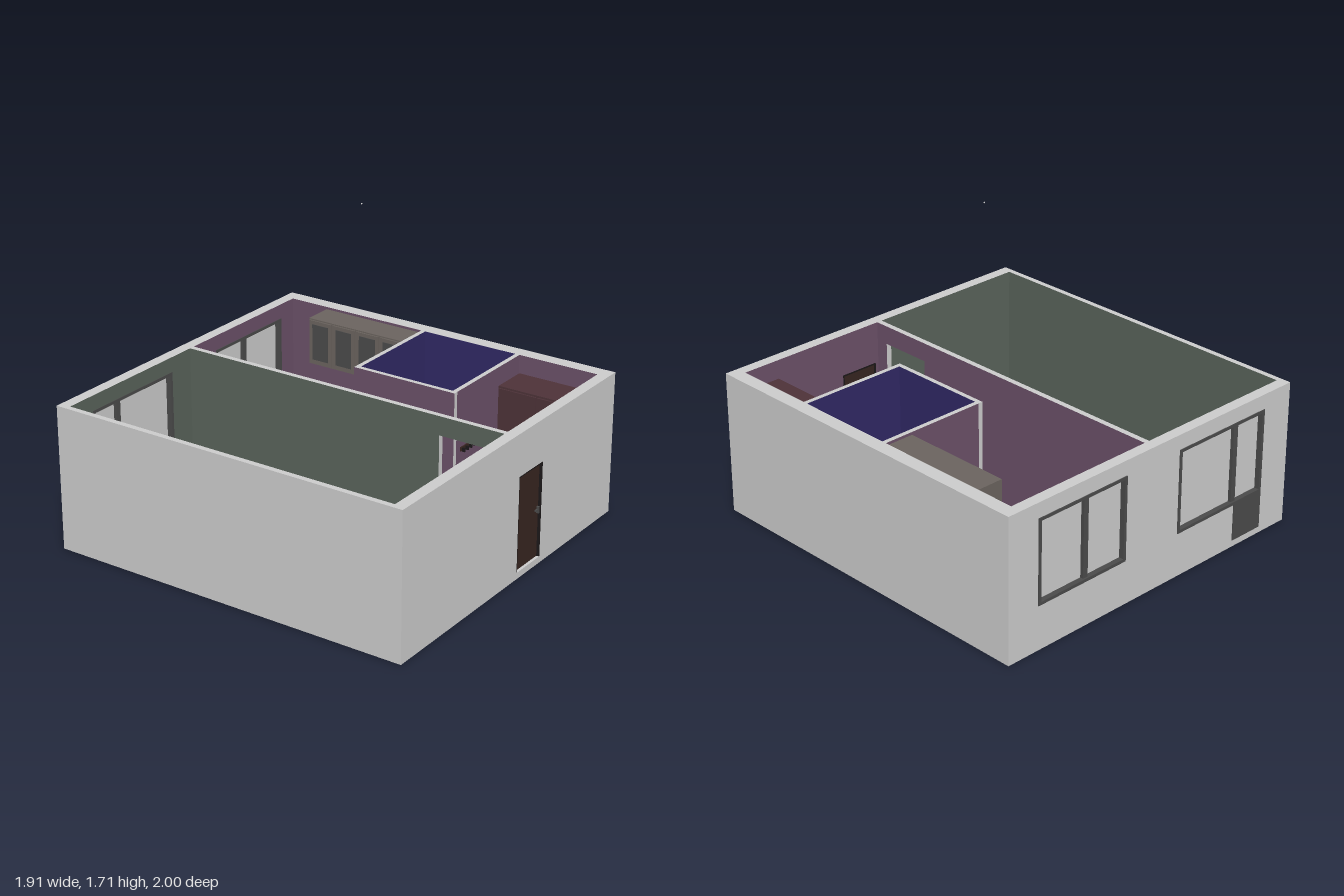
import * as THREE from 'three';
import { RoundedBoxGeometry } from 'three/addons/geometries/RoundedBoxGeometry.js';

const mat = (color) => new THREE.MeshStandardMaterial({ color });
const M = {
  grey: mat(0xcccccc), green: mat(0x59635a), purple: mat(0x6b5068), blue: mat(0x302864),
  floor: mat(0x433d30), door: mat(0x36241f), dark: mat(0x4a4a4a), black: mat(0x1c1819),
  pink: mat(0x8d6d72), pillow: mat(0x454949), wood: mat(0x6a5537), table: mat(0x9a865b),
  fridge: mat(0x6e755c), counter: mat(0x6b6d50), cabinet: mat(0x6a635e), stove: mat(0x7a7a75),
  wardrobe: mat(0x4d3238),
};
const H = 0.77, BASE = 0.003;

export function createModel() {
  const root = new THREE.Group();
  const group = (name) => {
    const g = new THREE.Group();
    g.name = name;
    root.add(g);
    return g;
  };
  const put = (parent, name, geo, material, x, y, z) => {
    const m = new THREE.Mesh(geo, material);
    m.name = name;
    m.position.set(x, y, z);
    parent.add(m);
    return m;
  };
  // Box given by its limits on each axis
  const box = (parent, name, x0, x1, y0, y1, z0, z1, material) =>
    put(parent, name, new THREE.BoxGeometry(x1 - x0, y1 - y0, z1 - z0), material,
      (x0 + x1) / 2, (y0 + y1) / 2, (z0 + z1) / 2);
  const cyl = (parent, name, r0, r1, h, x, y, z, material, n = 20) =>
    put(parent, name, new THREE.CylinderGeometry(r0, r1, h, n), material, x, y, z);

  // Wall along an axis: a..b is its run, t0..t1 its thickness, with at most one opening
  // [u0, u1, v0, v1]; lo and hi colour the faces at t0 and t1
  const walls = group('walls');
  const wall = (name, axis, a, b, t0, t1, lo, hi, cut) => {
    const g = M.grey;
    const mats = axis === 'x' ? [g, g, g, g, hi, lo] : [hi, lo, g, g, g, g];
    const piece = (u0, u1, v0, v1) => {
      if (u1 - u0 < 1e-4 || v1 - v0 < 1e-4) return;
      if (axis === 'x') box(walls, name, u0, u1, v0, v1, t0, t1, mats);
      else box(walls, name, t0, t1, v0, v1, u0, u1, mats);
    };
    if (!cut) return piece(a, b, BASE, H);
    const [u0, u1, v0, v1] = cut;
    piece(a, u0, BASE, H);
    piece(u1, b, BASE, H);
    piece(u0, u1, BASE, v0);
    piece(u0, u1, v1, H);
  };
  const windows = [[-0.77, -0.16, 0.24, 0.69], [0.2, 0.77, 0.24, 0.69]];
  const doorCut = [0.04, 0.26, 0.037, 0.545];
  wall('leftRoomSideWall', 'z', -0.995, 1, -0.96, -0.93, M.grey, M.green);
  wall('leftRoomBackWall', 'x', -0.93, 0.005, -0.995, -0.935, M.grey, M.green, windows[0]);
  wall('leftRoomFrontWall', 'x', -0.93, 0.005, 0.94, 1, M.green, M.grey);
  wall('rightRoomBackWall', 'x', 0.005, 0.88, -0.995, -0.935, M.grey, M.purple, windows[1]);
  wall('rightRoomFrontWall', 'x', 0.005, 0.88, 0.94, 1, M.purple, M.grey, doorCut);
  wall('kitchenSideWall', 'z', -0.995, -0.08, 0.88, 0.955, M.purple, M.grey);
  wall('bathroomSideWall', 'z', -0.08, 0.465, 0.88, 0.955, M.blue, M.grey);
  wall('hallSideWall', 'z', 0.465, 1, 0.88, 0.955, M.purple, M.grey);
  wall('partition', 'z', -0.935, 0.94, -0.01, 0.02, M.green, M.purple, [0.58, 0.87, BASE, 0.67]);
  wall('bathroomInnerWall', 'z', -0.105, 0.49, 0.265, 0.29, M.purple, M.blue);
  wall('bathroomBackWall', 'x', 0.29, 0.88, -0.105, -0.08, M.purple, M.blue);
  wall('bathroomFrontWall', 'x', 0.29, 0.88, 0.465, 0.49, M.blue, M.purple);

  // Floors
  const floors = group('floors');
  box(floors, 'mainFloor', -0.93, 0.88, BASE, 0.007, -0.935, 0.94, M.floor);
  box(floors, 'bathroomFloor', 0.268, 0.88, 0.001, 0.012, -0.1, 0.485, M.grey);

  // Windows: four frame bars, a mullion and a pane
  windows.forEach(([x0, x1, y0, y1], i) => {
    const g = group('window'), s = 0.016, mid = i ? 0.46 : -0.57;
    const bar = (n, a, b, c, d, z0 = -1, z1 = -0.932) => box(g, n, a, b, c, d, z0, z1, M.dark);
    bar('frameSide', x0, x0 + s, y0, y1);
    bar('frameSide', x1 - s, x1, y0, y1);
    bar('frameBottom', x0, x1, y0, y0 + s);
    bar('frameTop', x0, x1, y1 - s, y1);
    bar('mullion', mid - 0.015, mid + 0.015, y0, y1, -0.99, -0.945);
    box(g, 'pane', x0, x1, y0, y1, -0.972, -0.962, M.grey);
  });
  box(root, 'balconyDoorPanel', -0.77, -0.57, 0.04, 0.245, -1, -0.932, M.dark);

  // Front door with frame and handles, and the bathroom door
  const door = group('frontDoor');
  box(door, 'leaf', 0.04, 0.26, 0.037, 0.545, 0.945, 0.985, M.door);
  for (const x of [0.04, 0.252]) box(door, 'frameSide', x, x + 0.008, 0.037, 0.545, 0.938, 0.998, M.black);
  box(door, 'frameTop', 0.04, 0.26, 0.537, 0.545, 0.938, 0.998, M.black);
  for (const z of [0.938, 0.991]) {
    box(door, 'handle', 0.215, 0.245, 0.29, 0.298, z - 0.004, z + 0.004, M.dark);
    box(door, 'handlePlate', 0.236, 0.246, 0.275, 0.31, z - 0.007, z + 0.007, M.dark);
  }
  box(root, 'bathroomDoor', 0.262, 0.293, 0, 0.5, -0.07, 0.24, M.purple);

  // Bed with metal frame
  const bed = group('bed');
  for (const x of [-0.298, -0.034])
    for (const z of [-0.905, -0.362]) cyl(bed, 'post', 0.008, 0.008, 0.22, x, 0.115, z, M.black, 10);
  for (const z of [-0.905, -0.362])
    for (const y of [0.09, 0.16, 0.215]) box(bed, 'endRail', -0.298, -0.034, y - 0.005, y + 0.005, z - 0.005, z + 0.005, M.black);
  for (const x of [-0.298, -0.034]) box(bed, 'sideRail', x - 0.005, x + 0.005, 0.075, 0.095, -0.905, -0.362, M.black);
  put(bed, 'mattress', new RoundedBoxGeometry(0.25, 0.06, 0.53, 2, 0.015), M.pink, -0.166, 0.12, -0.634);
  put(bed, 'pillow', new RoundedBoxGeometry(0.16, 0.03, 0.09, 3, 0.014), M.pillow, -0.155, 0.162, -0.84).rotation.y = -0.05;

  // Low bed against the side wall
  const lowBed = group('lowBed');
  box(lowBed, 'base', -0.925, -0.67, 0, 0.07, -0.265, 0.265, M.pink);
  put(lowBed, 'mattress', new RoundedBoxGeometry(0.26, 0.06, 0.54, 2, 0.012), M.pink, -0.798, 0.098, 0);
  put(lowBed, 'pillow', new RoundedBoxGeometry(0.15, 0.03, 0.1, 3, 0.014), M.pillow, -0.825, 0.14, 0.155).rotation.y = -0.55;

  // Nightstand
  const stand = group('nightstand');
  box(stand, 'body', -0.475, -0.315, 0.025, 0.15, -0.92, -0.76, M.wood);
  box(stand, 'handle', -0.425, -0.365, 0.105, 0.112, -0.76, -0.752, M.grey);
  for (const x of [-0.45, -0.34])
    for (const z of [-0.895, -0.785]) cyl(stand, 'foot', 0.01, 0.01, 0.03, x, 0.015, z, M.black, 10);

  // Fridge
  const fridge = group('fridge');
  box(fridge, 'body', 0.025, 0.258, 0.012, 0.49, -0.92, -0.735, M.fridge);
  box(fridge, 'lowerDoor', 0.26, 0.27, 0.02, 0.33, -0.92, -0.735, M.fridge);
  box(fridge, 'upperDoor', 0.26, 0.27, 0.34, 0.49, -0.92, -0.735, M.fridge);
  for (const y of [0.24, 0.36]) box(fridge, 'handle', 0.27, 0.276, y, y + 0.06, -0.752, -0.745, M.dark);

  // Table with cups and a bottle
  const table = group('table');
  box(table, 'top', 0.025, 0.255, 0.2, 0.215, -0.73, -0.37, M.table);
  for (const x of [0.04, 0.24])
    for (const z of [-0.715, -0.385]) box(table, 'leg', x - 0.01, x + 0.01, 0.006, 0.2, z - 0.01, z + 0.01, M.table);
  for (const [x, z] of [[0.075, -0.7], [0.11, -0.7], [0.07, -0.665]]) cyl(table, 'cup', 0.01, 0.008, 0.025, x, 0.228, z, M.grey, 12);
  const profile = [[0, -0.035], [0.012, -0.035], [0.012, 0.008], [0.004, 0.018], [0.004, 0.035], [0, 0.035]];
  const bottle = put(table, 'bottle', new THREE.LatheGeometry(profile.map((p) => new THREE.Vector2(...p)), 14),
    M.grey, 0.15, 0.227, -0.645);
  bottle.rotation.set(Math.PI / 2, 0, -0.65);

  // Kitchen: stove, counter and wall cupboards
  const kitchen = group('kitchen');
  box(kitchen, 'stove', 0.65, 0.88, 0, 0.255, -0.92, -0.712, M.stove);
  for (const [x, z, r] of [[0.705, -0.868, 0.028], [0.81, -0.868, 0.043], [0.705, -0.765, 0.043], [0.81, -0.765, 0.028]])
    cyl(kitchen, 'burner', r, r, 0.008, x, 0.258, z, M.black, 24);
  box(kitchen, 'ovenWindow', 0.645, 0.65, 0.06, 0.17, -0.89, -0.745, M.black);
  for (let i = 0; i < 4; i++)
    cyl(kitchen, 'knob', 0.008, 0.008, 0.01, 0.646, 0.225, -0.88 + i * 0.042, M.black, 10).rotation.z = Math.PI / 2;
  box(kitchen, 'lowerCupboard', 0.667, 0.88, 0.007, 0.24, -0.71, -0.107, M.counter);
  box(kitchen, 'worktop', 0.657, 0.88, 0.24, 0.253, -0.71, -0.107, M.counter);
  box(kitchen, 'wallCupboard', 0.72, 0.88, 0.5, 0.757, -0.71, -0.107, M.cabinet);
  for (let i = 0; i < 4; i++) {
    const z = -0.703 + i * 0.15;
    box(kitchen, 'lowerDoor', 0.66, 0.667, 0.03, 0.232, z, z + 0.14, M.counter);
    box(kitchen, 'lowerHandle', 0.651, 0.66, 0.19, 0.2, z + 0.05, z + 0.09, M.dark);
    box(kitchen, 'upperDoor', 0.712, 0.72, 0.508, 0.75, z, z + 0.14, M.cabinet);
    box(kitchen, 'upperDoorPanel', 0.709, 0.712, 0.53, 0.73, z + 0.02, z + 0.12, M.dark);
  }

  // Bathtub: rim block around a sunken basin, with taps
  const tub = group('bathtub');
  const roundRect = (s, x0, x1, y0, y1, r) => {
    s.moveTo(x0 + r, y0);
    s.absarc(x1 - r, y0 + r, r, -Math.PI / 2, 0);
    s.absarc(x1 - r, y1 - r, r, 0, Math.PI / 2);
    s.absarc(x0 + r, y1 - r, r, Math.PI / 2, Math.PI);
    s.absarc(x0 + r, y0 + r, r, Math.PI, Math.PI * 1.5);
    return s;
  };
  const rim = new THREE.Shape([[0.29, -0.16], [0.88, -0.16], [0.88, 0.08], [0.29, 0.08]].map((p) => new THREE.Vector2(...p)));
  rim.holes.push(roundRect(new THREE.Path(), 0.335, 0.828, -0.145, 0.066, 0.03));
  put(tub, 'rim', new THREE.ExtrudeGeometry(rim, { depth: 0.155, bevelEnabled: false, curveSegments: 8 }), M.grey, 0, 0.01, 0)
    .rotation.x = -Math.PI / 2;
  box(tub, 'basinFloor', 0.33, 0.83, 0.012, 0.045, -0.07, 0.148, M.grey);
  const spout = new THREE.QuadraticBezierCurve3(new THREE.Vector3(0.86, 0.2, 0.04), new THREE.Vector3(0.79, 0.27, 0.04), new THREE.Vector3(0.72, 0.2, 0.04));
  put(tub, 'spout', new THREE.TubeGeometry(spout, 12, 0.007, 8), M.grey, 0, 0, 0);
  for (const z of [0.01, 0.07]) cyl(tub, 'tap', 0.012, 0.012, 0.05, 0.84, 0.19, z, M.grey, 12);

  // Washbasin
  const sink = group('washbasin');
  const bowl = [[0.025, -0.06], [0.05, -0.045], [0.07, 0], [0.062, 0], [0.04, -0.035], [0, -0.042]];
  put(sink, 'bowl', new THREE.LatheGeometry(bowl.map((p) => new THREE.Vector2(...p)), 28),
    new THREE.MeshStandardMaterial({ color: 0xcccccc, side: THREE.DoubleSide }), 0.803, 0.25, 0.207);
  cyl(sink, 'pedestal', 0.022, 0.032, 0.19, 0.815, 0.105, 0.207, M.grey);
  box(sink, 'backShelf', 0.855, 0.88, 0.225, 0.25, 0.14, 0.274, M.grey);
  box(sink, 'faucet', 0.81, 0.872, 0.265, 0.275, 0.202, 0.212, M.grey);
  cyl(sink, 'faucetBase', 0.007, 0.007, 0.03, 0.866, 0.26, 0.207, M.grey, 10);

  // Toilet
  const toilet = group('toilet');
  const pan = [[0.03, -0.11], [0.03, -0.06], [0.055, -0.01], [0.055, 0], [0.04, 0], [0.025, -0.045], [0, -0.05]];
  put(toilet, 'pan', new THREE.LatheGeometry(pan.map((p) => new THREE.Vector2(...p)), 28), M.grey, 0.725, 0.122, 0.35).scale.x = 1.3;
  const seat = put(toilet, 'seat', new THREE.TorusGeometry(0.046, 0.009, 8, 28), M.grey, 0.725, 0.124, 0.35);
  seat.rotation.x = Math.PI / 2;
  seat.scale.x = 1.3;
  box(toilet, 'neck', 0.76, 0.82, 0.01, 0.115, 0.32, 0.38, M.grey);
  box(toilet, 'cistern', 0.8, 0.862, 0.11, 0.235, 0.28, 0.42, M.grey);

  // Wardrobe
  const wardrobe = group('wardrobe');
  box(wardrobe, 'body', 0.678, 0.88, 0.007, 0.67, 0.493, 0.937, M.wardrobe);
  for (const z of [0.497, 0.718]) box(wardrobe, 'door', 0.67, 0.678, 0.03, 0.66, z, z + 0.215, M.wardrobe);
  for (const z of [0.695, 0.735]) box(wardrobe, 'handle', 0.664, 0.67, 0.3, 0.37, z - 0.004, z + 0.004, M.black);

  // Coat rack on the bathroom wall
  const rack = group('coatRack');
  box(rack, 'board', 0.325, 0.515, 0.44, 0.46, 0.49, 0.497, M.door);
  for (let i = 0; i < 6; i++) box(rack, 'hook', 0.336 + i * 0.032, 0.344 + i * 0.032, 0.435, 0.455, 0.497, 0.512, M.black);

  // Small lamp point above the rooms
  put(root, 'lampPoint', new THREE.SphereGeometry(0.004, 8, 6), M.grey, 0.096, 1.702, 0.053);
  return root;
}
